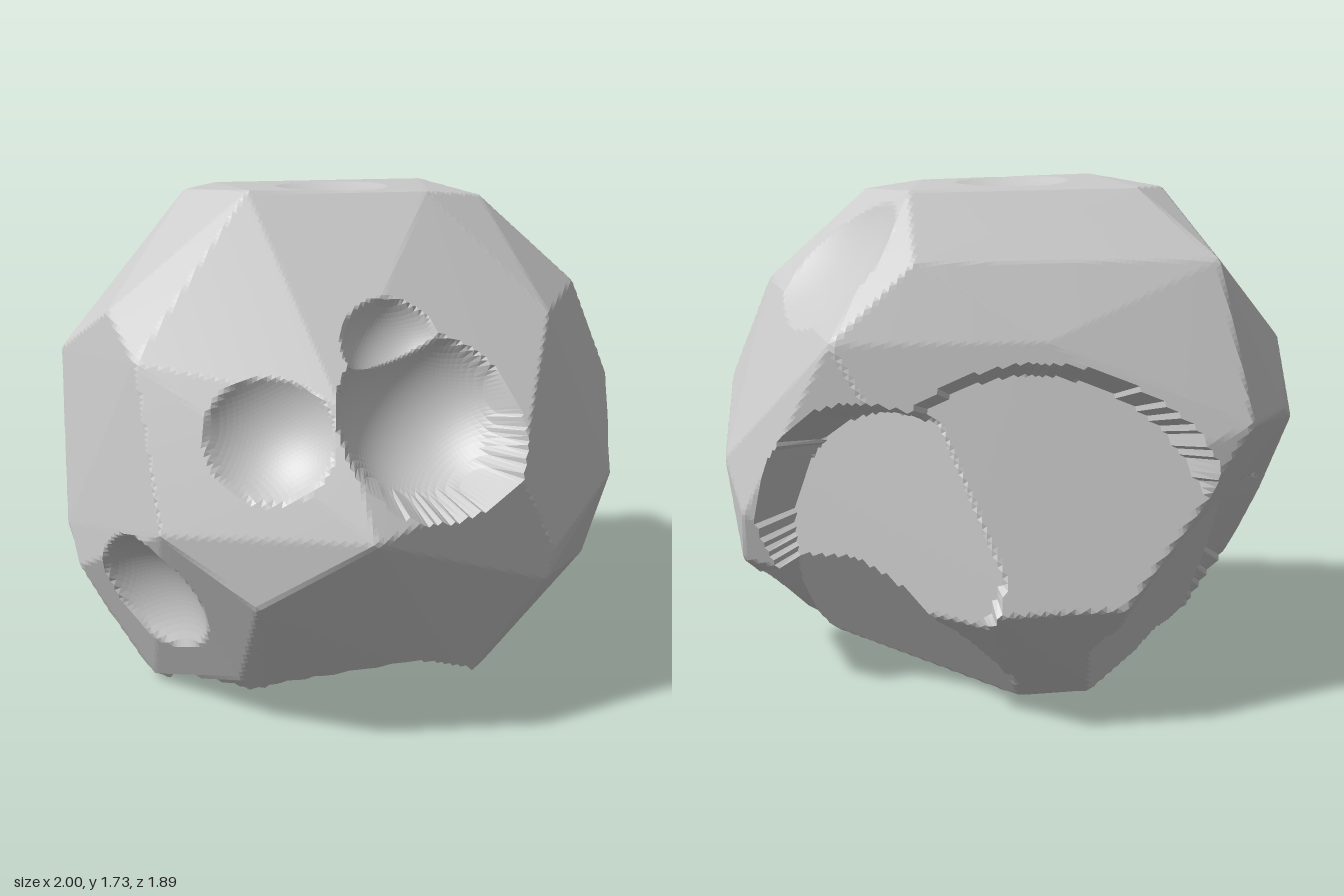
import * as THREE from 'three';
import { ConvexGeometry } from 'three/addons/geometries/ConvexGeometry.js';

const MID = 0.86; // height of the rock's middle

// Corners of the angular block before any scoops are taken out
const corners = [
  // crown
  [-0.35, 1.73, 0.12], [0.27, 1.71, 0.13], [0.48, 1.68, 0.07], [0.38, 1.68, -0.35],
  [-0.39, 1.69, -0.36], [-0.52, 1.69, -0.22], [-0.6, 1.46, -0.62], [0.4, 1.46, -0.6],
  // upper ring
  [0.82, 1.37, 0.13], [0.68, 1.22, -0.7], [0, 1.22, -0.75], [-0.84, 1.36, 0.2],
  [-0.75, 1.1, 0.5], [-0.78, 1.25, 0.46], [-0.17, 1.15, 0.71], [-0.12, 1.47, 0.36],
  [0.64, 1.32, 0.38], [-0.98, 1.15, -0.18],
  // middle ring
  [0.96, 1.02, 0.15], [1, 0.78, -0.2], [0.92, 0.7, 0.33], [0.55, 0.61, 0.76],
  [0.41, 0.9, 0.8], [-0.1, 0.76, 0.95], [-0.46, 0.53, 0.84], [-0.74, 0.75, 0.7],
  [-1, 0.55, 0], [-0.94, 0.9, -0.43], [-0.87, 0.95, -0.55], [-0.65, 0.95, -0.85],
  [-0.48, 0.9, -0.87], [0.95, 0.62, -0.38],
  // lower ring and base
  [0.52, 0.51, 0.77], [0.95, 0.45, -0.3], [0.9, 0.33, 0.16], [0.21, 0.4, -0.95],
  [-0.21, 0.4, -0.95], [-0.97, 0.42, 0.1], [-0.48, 0.16, 0.58], [-0.8, 0.08, 0.1],
  [0.62, 0.04, 0.16], [0.32, 0.04, 0.54], [-0.4, 0.04, 0.54], [-0.73, 0.02, 0.2],
  [0.08, 0, -0.56], [-0.22, 0, -0.58],
].map(([x, y, z]) => new THREE.Vector3(x, y - MID, z));

// Scoops: centre c and radius r of the round wall, then the way the flat floor
// faces (n) and its distance from the middle (h)
const scoops = [
  { c: [0.05, -0.28, -0.9], r: 0.58, n: [0, 0.37, -0.93], h: 0.71 },         // back
  { c: [0.55, -0.27, -0.72], r: 0.43, n: [0.66, 0.05, -0.75], h: 0.77 },     // back, +x side
  { c: [0.4, -0.75, -0.25], r: 0.49, n: [0.67, -0.57, -0.48], h: 0.8 },      // low, +x side
  { c: [-0.52, -0.68, -0.37], r: 0.56, n: [-0.75, -0.35, -0.56], h: 0.765 }, // low, -x side
  { c: [-0.08, -0.86, 0.2], r: 0.5, n: [0.1, -0.95, -0.2], h: 0.54 },        // underside
  { c: [1.06, 0.97, -0.44], r: 0.67, n: [0.72, 0.65, -0.3], h: 0.82 },       // shoulder
  { c: [0, 1.6, -0.12], r: 0.78, n: [0, 1, 0], h: 0.8 },                     // crown
  { c: [-0.95, -0.5, 0.6], r: 0.36, n: [-0.77, -0.41, 0.49], h: 0.84 },      // front, -x side
  { c: [0.15, 0.27, 0.78], r: 0.33, n: [0.45, 0.2, 0.87], h: 0.45 },         // front hollow
  { c: [0.06, 0.48, 0.62], r: 0.2, n: [0.1, 0.55, 0.8], h: 0.5 },            // top of front hollow
  { c: [-0.45, 0.28, 0.88], r: 0.3, n: [-0.46, 0.28, 0.83], h: 0.7 },        // beside the front ridge
].map(({ c, r, n, h }) => ({
  centre: new THREE.Vector3(...c), r, normal: new THREE.Vector3(...n).normalize(), h,
}));

// Face planes of the convex block
function blockPlanes() {
  const pos = new ConvexGeometry(corners).attributes.position;
  const planes = [];
  for (let i = 0; i < pos.count; i += 3) {
    const [a, b, c] = [0, 1, 2].map((k) => new THREE.Vector3().fromBufferAttribute(pos, i + k));
    const normal = new THREE.Triangle(a, b, c).getNormal(new THREE.Vector3());
    const h = normal.dot(a);
    if (normal.lengthSq() > 0.5 && h > 0.1) planes.push({ normal, h });
  }
  return planes;
}

// Distance from the middle to a plane along a direction
function planeDistance(dir, { normal, h }) {
  const k = normal.dot(dir);
  return k > 1e-4 ? h / k : Infinity;
}

// Distance from the middle to the scooped surface along a direction
function surfaceDistance(dir, planes) {
  let t = Infinity;
  for (const plane of planes) t = Math.min(t, planeDistance(dir, plane));
  for (const scoop of scoops) {
    const b = dir.dot(scoop.centre);
    const disc = b * b - scoop.centre.lengthSq() + scoop.r ** 2;
    if (b <= 0 || disc <= 0) continue;
    const half = Math.sqrt(disc);
    const start = Math.max(b - half, planeDistance(dir, scoop));
    if (start < b + half) t = Math.min(t, start);
  }
  return t;
}

export function createModel() {
  const group = new THREE.Group();
  group.name = 'rock';

  // Fine ball pulled onto the faceted, scooped surface
  const geometry = new THREE.IcosahedronGeometry(1, 60);
  const planes = blockPlanes();
  const pos = geometry.attributes.position;
  const v = new THREE.Vector3();
  for (let i = 0; i < pos.count; i++) {
    v.fromBufferAttribute(pos, i).normalize();
    v.multiplyScalar(surfaceDistance(v, planes));
    pos.setXYZ(i, v.x, v.y + MID, v.z);
  }
  geometry.computeVertexNormals();

  const boulder = new THREE.Mesh(
    geometry,
    new THREE.MeshStandardMaterial({ color: 0xcccccc, flatShading: true })
  );
  boulder.name = 'boulder';
  group.add(boulder);
  return group;
}
